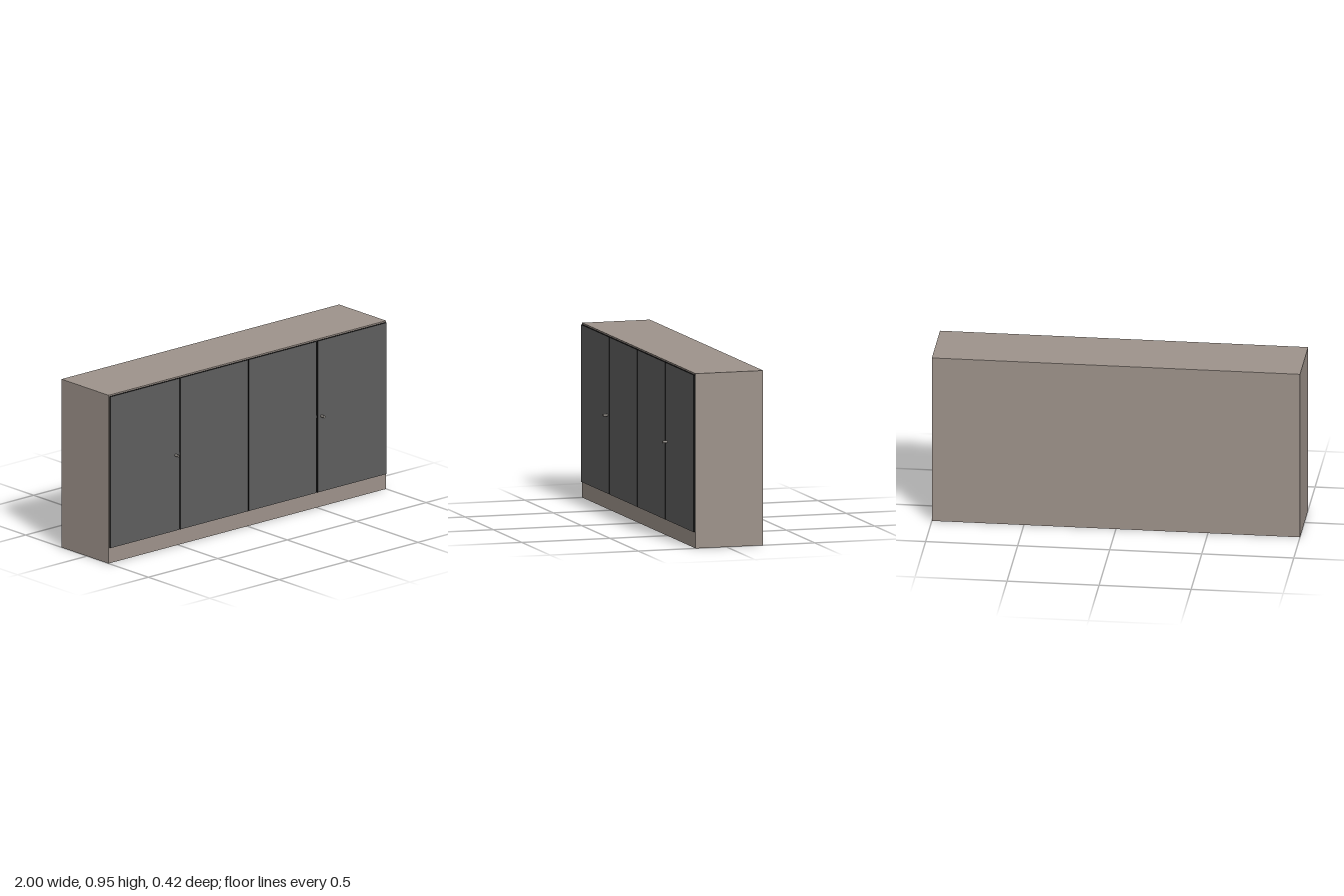
import * as THREE from 'three';

const BODY = new THREE.MeshStandardMaterial({ color: 0x9e938b });
const DOOR = new THREE.MeshStandardMaterial({ color: 0x5e5e5e });
const EDGE = new THREE.MeshStandardMaterial({ color: 0x111111 });
const METAL = new THREE.MeshStandardMaterial({ color: 0x8c8782 });

// Box given by its minimum and maximum corners
function box(name, min, max, material) {
  const size = max.map((v, i) => v - min[i]);
  const mesh = new THREE.Mesh(new THREE.BoxGeometry(...size), material);
  mesh.position.set(...max.map((v, i) => (v + min[i]) / 2));
  mesh.name = name;
  return mesh;
}

export function createModel() {
  const group = new THREE.Group();
  group.name = 'sideboard';

  // Carcass with a plain plinth below the doors
  const front = 0.175;
  group.add(box('cabinetBody', [-1, 0, -0.208], [1, 0.953, front], BODY));

  // Four doors: grey front panel, black edge banding
  const faces = [EDGE, EDGE, EDGE, EDGE, DOOR, EDGE];
  const spans = [[-0.994, -0.499], [-0.491, -0.003], [0.003, 0.491], [0.499, 0.994]];
  spans.forEach(([x0, x1], i) => {
    group.add(box(`door${i + 1}`, [x0, 0.088, front], [x1, 0.945, front + 0.01], faces));
  });

  for (const [side, s] of [['right', -1], ['left', 1]]) {
    // Round knob on each outer door
    const knob = new THREE.Mesh(new THREE.CylinderGeometry(0.007, 0.007, 0.026, 24), METAL);
    knob.rotation.x = Math.PI / 2;
    knob.position.set(s * 0.525, 0.516, front + 0.022);
    knob.name = `${side}Knob`;
    group.add(knob);

    // Lock bolt bridging the gap between the doors
    const x = s * 0.495;
    group.add(box(`${side}LockBolt`, [x - 0.005, 0.51, front], [x + 0.005, 0.524, front + 0.007], EDGE));
  }
  return group;
}
